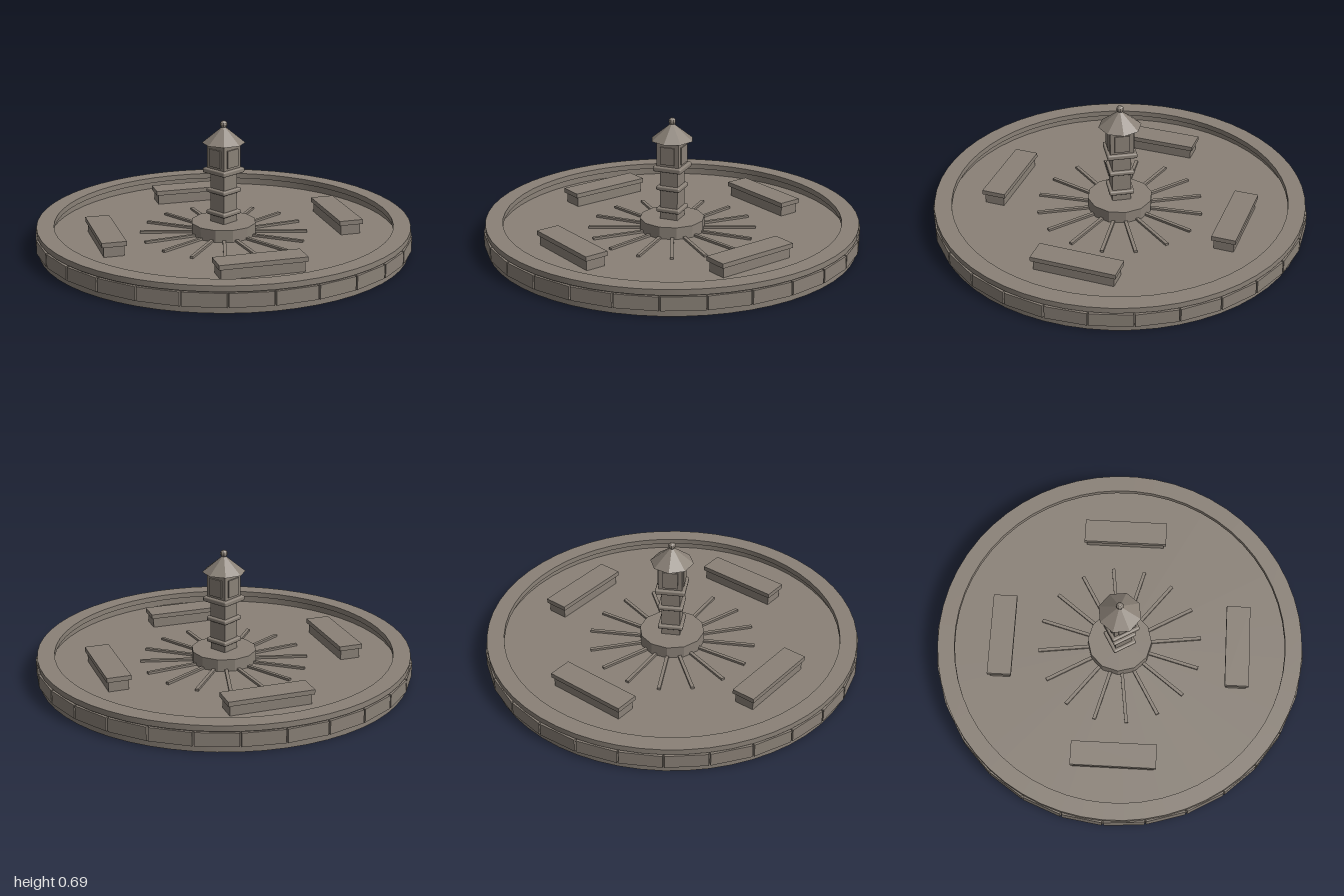
import * as THREE from 'three';
import { toCreasedNormals } from 'three/addons/utils/BufferGeometryUtils.js';
import { RoundedBoxGeometry } from 'three/addons/geometries/RoundedBoxGeometry.js';

export function createModel() {
  const model = new THREE.Group();
  const stone = new THREE.MeshStandardMaterial({ color: 0x8a8177 });
  stone.name = 'weathered stone';

  function add(name, geometry, x = 0, y = 0, z = 0, parent = model) {
    const mesh = new THREE.Mesh(geometry, stone);
    mesh.name = name;
    mesh.position.set(x, y, z);
    parent.add(mesh);
    return mesh;
  }
  const crease = (geometry) => toCreasedNormals(geometry, 0.3);
  const box = (w, h, d) => new THREE.BoxGeometry(w, h, d);

  // Repeats a part around the centre; the builder places it along +x
  function ring(name, count, startAngle, build) {
    for (let i = 0; i < count; i++) {
      const group = new THREE.Group();
      group.name = name;
      group.rotation.y = -(startAngle + (i / count) * Math.PI * 2);
      build(group);
      model.add(group);
    }
  }

  // Round basin with an overhanging coping and a sunken floor
  const basinProfile = [
    [0, 0], [0.99, 0], [0.99, 0.11], [0.997, 0.11], [0.997, 0.14],
    [0.905, 0.14], [0.905, 0.11], [0.93, 0.11], [0.93, 0.068], [0, 0.068],
  ].map(([r, y]) => new THREE.Vector2(r, y));
  add('basin', crease(new THREE.LatheGeometry(basinProfile, 56)));

  // Flat facing blocks around the outer wall
  ring('facingBlock', 28, 0, (g) => {
    add('facingBlockFace', box(0.03, 0.072, 0.216), 0.985, 0.069, 0, g);
  });

  // Thin rays on the floor
  ring('floorRay', 16, 0, (g) => {
    add('floorRayBar', box(0.29, 0.014, 0.018), 0.305, 0.073, 0, g);
  });

  // Four benches set across the radius
  ring('bench', 4, Math.PI / 6, (g) => {
    add('benchBody', box(0.108, 0.06, 0.435), 0.645, 0.096, 0, g);
    add('benchSeat', box(0.13, 0.025, 0.458), 0.645, 0.1355, 0, g);
  });

  // Pedestal and square column
  add('pedestal', crease(new THREE.CylinderGeometry(0.175, 0.175, 0.068, 12)), 0, 0.1, 0);
  add('column', box(0.1, 0.3, 0.1), 0, 0.27, 0);

  // Rounded square bands on the column: width, thickness, height
  for (const [w, t, y] of [[0.134, 0.024, 0.186], [0.134, 0.024, 0.308], [0.16, 0.028, 0.418]]) {
    add('columnBand', new RoundedBoxGeometry(w, t, w, 2, 0.008), 0, y, 0);
  }

  // Lantern head with a raised panel on each side
  add('lanternBody', box(0.126, 0.145, 0.126), 0, 0.5, 0);
  ring('lanternPanel', 4, 0, (g) => {
    add('lanternPanelFace', box(0.008, 0.095, 0.08), 0.066, 0.492, 0, g);
  });

  // Eight-sided roof and ball finial
  add('roof', crease(new THREE.ConeGeometry(0.115, 0.093, 8)), 0, 0.6145, 0);
  add('finial', crease(new THREE.SphereGeometry(0.02, 8, 6)), 0, 0.667, 0);

  return model;
}
